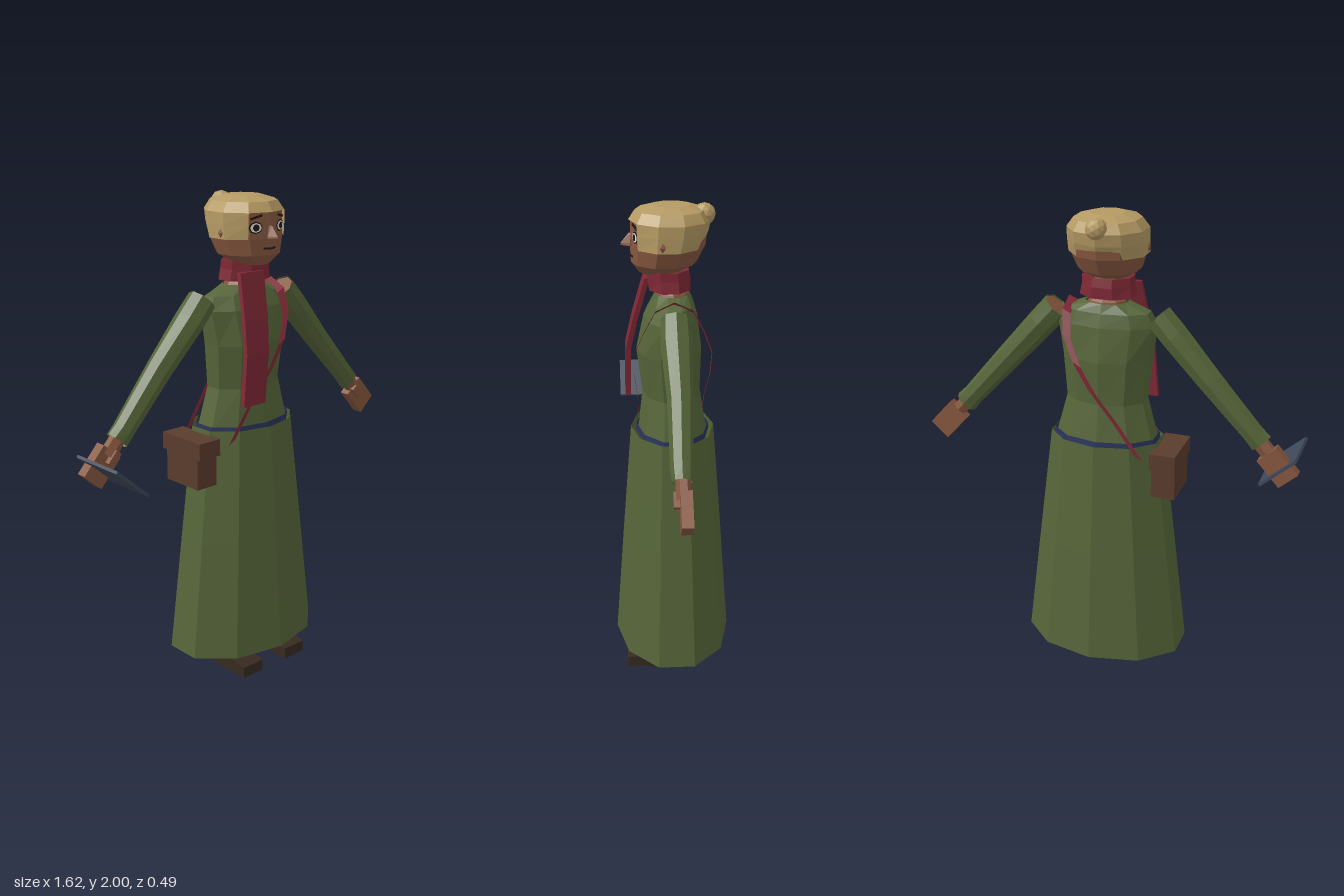
import * as THREE from 'three';

const mat = (name, color) => new THREE.MeshStandardMaterial({ name, color, flatShading: true, side: THREE.DoubleSide });

// Faceted tube through elliptical rings [y, rx, rz, cx, cz], listed bottom to top
function loft(rings, n, { bottom = false, top = false, phase = 0, skip = () => false } = {}) {
  const pos = [], idx = [];
  for (const [y, rx, rz, cx = 0, cz = 0] of rings) {
    for (let j = 0; j < n; j++) {
      const a = phase + (j / n) * Math.PI * 2;
      pos.push(cx + rx * Math.sin(a), y, cz + rz * Math.cos(a));
    }
  }
  for (let i = 0; i < rings.length - 1; i++) {
    for (let j = 0; j < n; j++) {
      if (skip(i, j)) continue;
      const a = i * n + j, b = i * n + (j + 1) % n;
      idx.push(a, b, b + n, a, b + n, a + n);
    }
  }
  const cap = (i, up) => {
    const [y, , , cx = 0, cz = 0] = rings[i];
    const c = pos.length / 3;
    pos.push(cx, y, cz);
    for (let j = 0; j < n; j++) {
      const a = i * n + j, b = i * n + (j + 1) % n;
      idx.push(c, up ? a : b, up ? b : a);
    }
  };
  if (bottom) cap(0, false);
  if (top) cap(rings.length - 1, true);
  const g = new THREE.BufferGeometry();
  g.setAttribute('position', new THREE.Float32BufferAttribute(pos, 3));
  g.setIndex(idx);
  g.computeVertexNormals();
  return g;
}

// Flat band following a path, widened along one fixed direction
function ribbon(points, wx, wy) {
  const pos = [], idx = [];
  points.forEach(([x, y, z], i) => {
    pos.push(x - wx, y - wy, z, x + wx, y + wy, z);
    if (i) idx.push(2 * i - 2, 2 * i - 1, 2 * i + 1, 2 * i - 2, 2 * i + 1, 2 * i);
  });
  const g = new THREE.BufferGeometry();
  g.setAttribute('position', new THREE.Float32BufferAttribute(pos, 3));
  g.setIndex(idx);
  g.computeVertexNormals();
  return g;
}

export function createModel() {
  const green = mat('dressGreen', 0x566539), hair = mat('hairBlond', 0xb59a63), skin = mat('skin', 0x87573f);
  const red = mat('scarfRed', 0x7f2835), leather = mat('bagLeather', 0x5a3c2d), shoeMat = mat('shoeBrown', 0x372a20);
  const slate = mat('bookSlate', 0x3f4859), navy = mat('beltNavy', 0x29335c);
  const white = mat('eyeWhite', 0xe6e2da), dark = mat('featureDark', 0x211815);

  const model = new THREE.Group();
  const add = (name, geo, m, x = 0, y = 0, z = 0, parent = model) => {
    const mesh = new THREE.Mesh(geo, m);
    mesh.name = name;
    mesh.position.set(x, y, z);
    parent.add(mesh);
    return mesh;
  };
  const box = (w, h, d) => new THREE.BoxGeometry(w, h, d);

  // Dress and belt
  add('skirt', loft([[0.105, 0.361, 0.247], [0.6, 0.3, 0.21], [1.08, 0.24, 0.172]], 10), green);
  add('bodice', loft([
    [1.06, 0.222, 0.142], [1.24, 0.172, 0.118, 0, 0.005], [1.42, 0.189, 0.132, 0, 0.014],
    [1.56, 0.21, 0.108, 0, 0.008], [1.615, 0.185, 0.085], [1.65, 0.09, 0.07],
  ], 10), green);
  add('belt', loft([[1.065, 0.229, 0.152], [1.092, 0.225, 0.148]], 10), navy);

  // Neck and scarf
  add('neck', loft([[1.6, 0.1, 0.08], [1.655, 0.075, 0.066], [1.67, 0.06, 0.06, 0, 0.01], [1.77, 0.06, 0.06, 0, 0.015]], 8), skin);
  add('scarfCollar', loft([
    [1.67, 0.118, 0.088, 0, 0.012], [1.715, 0.108, 0.092, 0, 0.015], [1.75, 0.108, 0.088, 0, 0.018], [1.74, 0.062, 0.062, 0, 0.015],
  ], 8, { phase: Math.PI / 8 }), red);
  add('scarfTail', loft([
    [1.195, 0.081, 0.015, -0.107, 0.18], [1.4, 0.083, 0.015, -0.088, 0.178],
    [1.53, 0.087, 0.014, -0.07, 0.15], [1.71, 0.088, 0.014, -0.048, 0.1],
  ], 4, { phase: Math.PI / 4, bottom: true, top: true }), red);

  // Shoulder strap, crossing the body front and back, and its bag
  const front = [[-0.18, 1.04, 0.135], [-0.085, 1.18, 0.14], [0.01, 1.31, 0.155], [0.075, 1.42, 0.155], [0.13, 1.52, 0.12], [0.145, 1.61, 0.075]];
  const back = front.map(([x, y, z]) => [x, y, -z]).reverse();
  add('bagStrap', ribbon([...front, [0.145, 1.645, 0], ...back], 0.017, 0.009), red);
  add('bag', box(0.1, 0.2, 0.19), leather, -0.275, 0.96, -0.005);
  add('bagFlap', box(0.108, 0.07, 0.23), leather, -0.275, 1.025, -0.005);

  // Head and hair
  add('head', loft([
    [1.735, 0.065, 0.075, 0, 0.055], [1.775, 0.128, 0.13, 0, 0.032], [1.84, 0.15, 0.148, 0, 0.017],
    [1.945, 0.15, 0.152, 0, 0.01], [1.97, 0.1, 0.1],
  ], 10, { bottom: true, top: true }), skin);
  add('hair', loft([
    [1.84, 0.162, 0.142, 0, 0.022], [1.895, 0.163, 0.156, 0, 0.014], [1.942, 0.162, 0.161, 0, 0.01],
    [1.98, 0.133, 0.138, 0, 0.008], [1.999, 0.07, 0.075, 0, 0.005],
  ], 10, { top: true, skip: (i, j) => i < 2 && (j === 0 || j === 9) }), hair);
  add('hairBun', new THREE.IcosahedronGeometry(0.044, 1), hair, 0, 1.96, -0.125);

  // Face
  add('nose', loft([[1.842, 0.02, 0.036, 0, 0.166], [1.85, 0.018, 0.036, 0, 0.166], [1.89, 0.007, 0.01, 0, 0.16]], 4, { bottom: true, top: true }), skin);
  for (const s of [1, -1]) {
    const feature = (name, geo, m, x, y, lift) => {
      const f = add(name, geo, m, s * x, y, 0.165 - 0.33 * x + lift);
      f.rotation.y = s * 0.32;
      return f;
    };
    feature('eyeRim', new THREE.CircleGeometry(0.03, 8), dark, 0.065, 1.885, 0.003).scale.y = 0.8;
    feature('eyeWhite', new THREE.CircleGeometry(0.025, 8), white, 0.065, 1.885, 0.005).scale.y = 0.75;
    feature('pupil', new THREE.CircleGeometry(0.014, 8), dark, 0.065, 1.885, 0.007);
    feature('eyebrow', box(0.05, 0.008, 0.006), dark, 0.062, 1.925, 0.003).rotation.z = -s * 0.25;
    feature('mouth', box(0.032, 0.007, 0.006), dark, 0.015, 1.803, 0.001);
    add('ear', new THREE.IcosahedronGeometry(0.02, 0), skin, s * 0.145, 1.863, 0.045).scale.set(0.9, 1.1, 0.8);
  }

  // Arms hang along local -y from the shoulder; legs and shoes below
  const shoeGeo = box(0.11, 0.08, 0.225);
  const p = shoeGeo.attributes.position;
  for (let i = 0; i < p.count; i++) if (p.getY(i) > 0 && p.getZ(i) > 0) p.setY(i, 0.008);
  shoeGeo.computeVertexNormals();

  for (const s of [1, -1]) {
    const side = s > 0 ? 'left' : 'right';
    const arm = new THREE.Group();
    arm.name = side + 'Arm';
    arm.position.set(s * 0.213, 1.605, 0);
    arm.rotation.z = s * 0.736;
    model.add(arm);
    add(side + 'Sleeve', loft([
      [-0.65, 0.05, 0.038, 0, 0.003], [-0.6, 0.046, 0.042, 0, 0.003], [-0.33, 0.054, 0.05, 0, -0.004],
      [-0.1, 0.06, 0.062], [0, 0.06, 0.058],
    ], 8), green, 0, 0, 0, arm);
    add(side + 'UpperArm', loft([[-0.3, 0.045, 0.042], [-0.006, 0.056, 0.054]], 8, { top: true }), skin, 0, 0, 0, arm);
    add(side + 'Wrist', loft([[-0.72, 0.034, 0.028], [-0.6, 0.034, 0.028]], 6, { top: true }), skin, 0, 0, 0, arm);
    add(side + 'Hand', box(0.1, 0.14, 0.044), skin, 0, -0.765, -0.008, arm);
    add(side + 'Thumb', box(0.028, 0.06, 0.03), skin, -s * 0.012, -0.715, 0.022, arm);
    add(side + 'Leg', loft([[0.04, 0.038, 0.038], [0.3, 0.05, 0.05], [0.95, 0.075, 0.075]], 8, { top: true }), skin, s * 0.12, 0, 0);
    add(side + 'Shoe', shoeGeo, shoeMat, s * 0.123, 0.04, 0.092);
  }

  // Book held flat in the right hand
  add('book', box(0.188, 0.012, 0.25), slate, -0.73, 1.022, 0.08).rotation.z = -0.73;

  return model;
}
